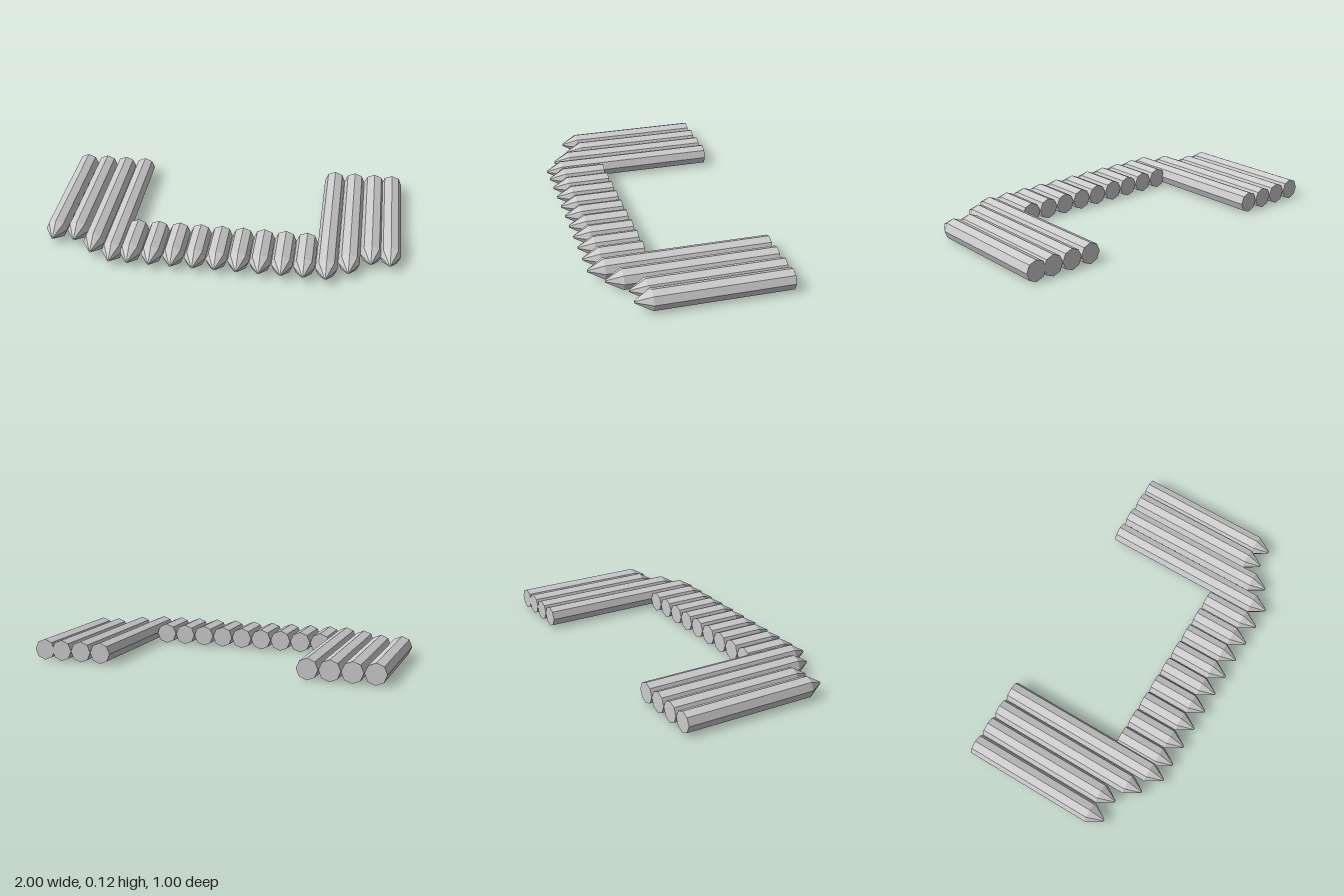
import * as THREE from 'three';

const RADIUS = 0.059, TIP_RADIUS = 0.007, TIP_LENGTH = 0.087;

// Eight-sided log lying along z, flat at the back and sharpened at the front
function makeStake(name, x, back, tip, material) {
  const profile = [
    [0, back], [RADIUS, back], [RADIUS, tip - TIP_LENGTH], [TIP_RADIUS, tip], [0, tip],
  ].map(([r, z]) => new THREE.Vector2(r, z));
  const geometry = new THREE.LatheGeometry(profile, 8).rotateX(Math.PI / 2);
  const stake = new THREE.Mesh(geometry, material);
  stake.name = name;
  stake.position.set(x, RADIUS, 0);
  return stake;
}

export function createModel() {
  const model = new THREE.Group();
  model.name = 'palisade';
  const material = new THREE.MeshStandardMaterial({ color: 0xcccccc, flatShading: true });

  // Long stakes on both sides: [x, tip z]
  const rightSide = [[-0.941, 0.335], [-0.82, 0.332], [-0.701, 0.432], [-0.581, 0.5]];
  const leftSide = [[0.6, 0.5], [0.719, 0.432], [0.837, 0.335], [0.941, 0.335]];
  rightSide.forEach(([x, tip], i) => model.add(makeStake(`rightLongStake${i + 1}`, x, -0.5, tip, material)));
  leftSide.forEach(([x, tip], i) => model.add(makeStake(`leftLongStake${i + 1}`, x, -0.5, tip, material)));

  // Row of short stakes across the middle
  for (let i = 0; i < 9; i++) {
    model.add(makeStake(`shortStake${i + 1}`, -0.48 + i * 0.12, 0.17, 0.5, material));
  }
  return model;
}
